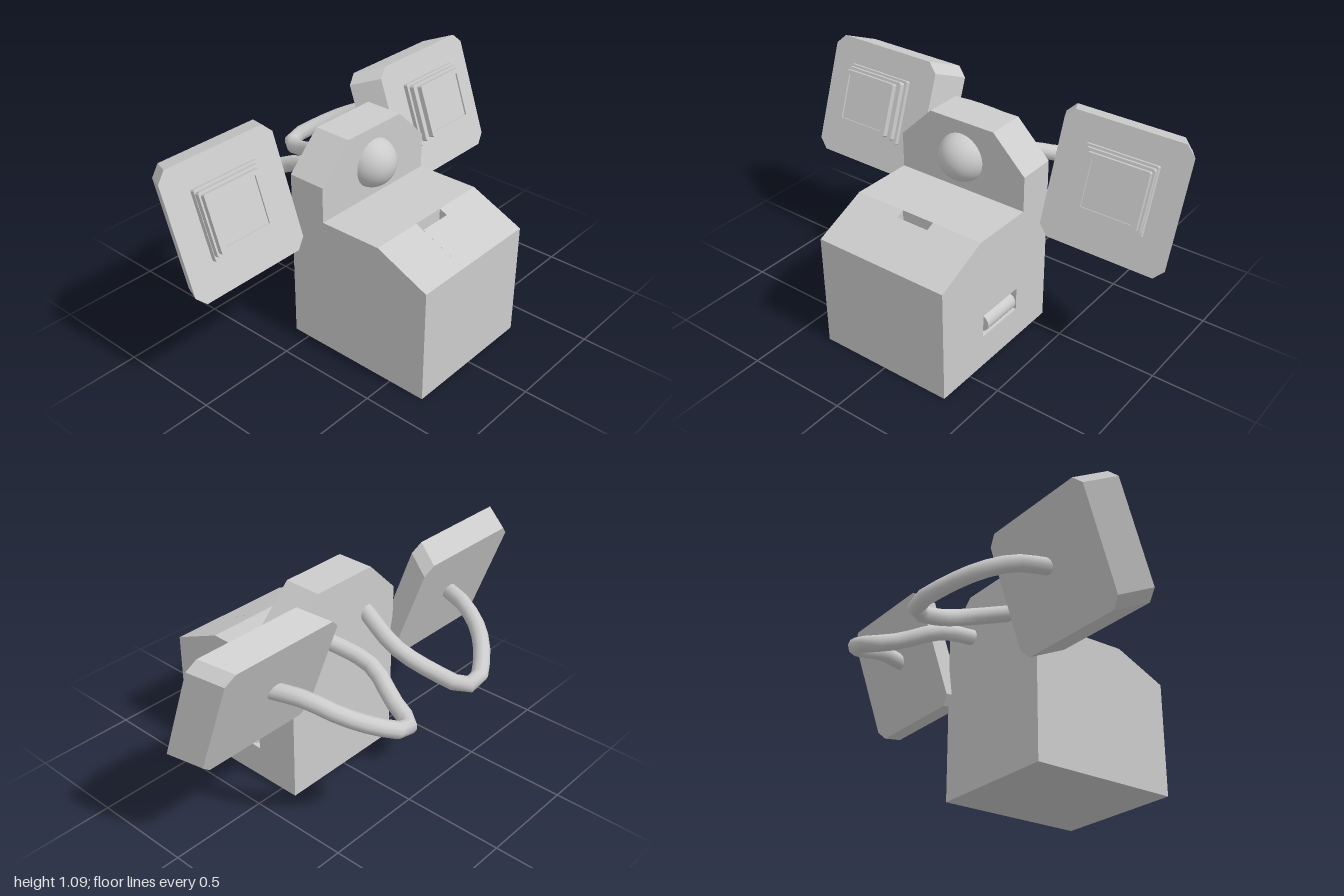
import * as THREE from 'three';

const mat = new THREE.MeshStandardMaterial({ color: 0xcccccc });

function add(parent, name, geometry) {
  const mesh = new THREE.Mesh(geometry, mat);
  mesh.name = name;
  parent.add(mesh);
  return mesh;
}

const poly = pts => new THREE.Shape(pts.map(p => new THREE.Vector2(...p)));
const rect = (x0, x1, y0, y1) => [[x0, y0], [x1, y0], [x1, y1], [x0, y1]];
const extrude = (shape, depth) => new THREE.ExtrudeGeometry(shape, { depth, bevelEnabled: false });

// Rectangle with cut corners
function cutRect(hw, hh, c) {
  return poly([[-hw + c, -hh], [hw - c, -hh], [hw, -hh + c], [hw, hh - c],
    [hw - c, hh], [-hw + c, hh], [-hw, hh - c], [-hw, -hh + c]]);
}

// Body: side profile in slices, one notched on top, one with a recess at the back
function makeBody() {
  const body = new THREE.Group();
  body.name = 'body';
  const profile = notch => poly([[-0.085, 0], [0.685, 0], [0.685, 0.565],
    ...(notch ? [[0.46, 0.665], [0.46, 0.6], [0.42, 0.6]] : []),
    [0.42, 0.682], [0.105, 0.678], [-0.085, 0.678]]);
  const slice = (name, z0, z1, shape) => add(body, name, extrude(shape, z1 - z0)).position.z = z0;

  const back = profile(false);
  back.holes.push(new THREE.Path(rect(0.145, 0.4, 0.165, 0.28).map(p => new THREE.Vector2(...p))));
  slice('backWall', -0.345, -0.26, back);
  slice('bodyBackHalf', -0.26, -0.085, profile(false));
  slice('slotSection', -0.085, 0.085, profile(true));
  slice('bodyFrontHalf', 0.085, 0.345, profile(false));

  // Roller sitting in the back recess
  const roller = new THREE.CylinderGeometry(0.045, 0.045, 0.21, 16);
  roller.rotateZ(Math.PI / 2);
  add(body, 'roller', roller).position.set(0.27, 0.215, -0.31);

  // Upright head with sloping shoulders and a domed eye
  const head = extrude(poly([[-0.345, 0.678], [0.345, 0.678], [0.345, 0.852],
    [0.175, 1.02], [-0.175, 1.02], [-0.345, 0.852]]), 0.19);
  head.rotateY(Math.PI / 2);
  add(body, 'head', head).position.x = -0.085;
  add(body, 'eye', new THREE.SphereGeometry(0.12, 28, 18)).position.set(0.085, 0.84, 0);
  return body;
}

// Tilted side panel; side is +1 (left) or -1 (right)
function makePanel(side) {
  const panel = new THREE.Group();
  panel.name = side > 0 ? 'leftPanel' : 'rightPanel';
  const N = new THREE.Vector3(0.942, 0.336, 0);
  const V = new THREE.Vector3(-0.336, 0.942, 0);

  // Places a flat outline on the tilted plane: v up the slope, n out of it, skewed in z
  function place(name, shape, z, v, n0, n1, skew) {
    const g = extrude(shape, n1 - n0);
    const out = N.clone().add(new THREE.Vector3(0, 0, side * skew));
    const m = new THREE.Matrix4().makeBasis(new THREE.Vector3(0, 0, -1), V, out);
    m.setPosition(N.clone().multiplyScalar(n0).addScaledVector(V, v).add(new THREE.Vector3(0, 0, side * z)));
    g.applyMatrix4(m);
    add(panel, name, g);
  }

  place('panelSlab', cutRect(0.318, 0.298, 0.047), 0.609, 0.791, 0.05, 0.193, 0.52);
  place('screenBase', cutRect(0.18, 0.16, 0.005), 0.685, 0.806, 0.185, 0.215, 0);
  place('screenStep', cutRect(0.172, 0.145, 0.008), 0.69, 0.81, 0.21, 0.24, 0.1);

  // Raised frame around a sunken screen
  const frame = cutRect(0.155, 0.132, 0.005);
  frame.holes.push(new THREE.Path(rect(-0.125, 0.125, -0.11, 0.11).map(p => new THREE.Vector2(...p))));
  place('screenFrame', frame, 0.7, 0.81, 0.235, 0.265, 0.1);
  place('screen', poly(rect(-0.126, 0.126, -0.111, 0.111)), 0.702, 0.81, 0.235, 0.257, 0);
  return panel;
}

// Drooping cable from the back of the panel to the back of the head
function cableGeometry(side) {
  const path = [[-0.2, 0.785, 0.6], [-0.35, 0.778, 0.545], [-0.49, 0.725, 0.475], [-0.6, 0.66, 0.36],
    [-0.652, 0.615, 0.25], [-0.62, 0.608, 0.195], [-0.5, 0.64, 0.15], [-0.32, 0.72, 0.092], [-0.05, 0.8, 0.165]];
  const curve = new THREE.CatmullRomCurve3(path.map(([x, y, z]) => new THREE.Vector3(x, y, side * z)));
  return new THREE.TubeGeometry(curve, 18, 0.039, 10, false);
}

export function createModel() {
  const model = new THREE.Group();
  model.name = 'boxRobot';
  model.add(makeBody());
  for (const side of [1, -1]) {
    model.add(makePanel(side));
    add(model, side > 0 ? 'leftCable' : 'rightCable', cableGeometry(side));
  }
  return model;
}
